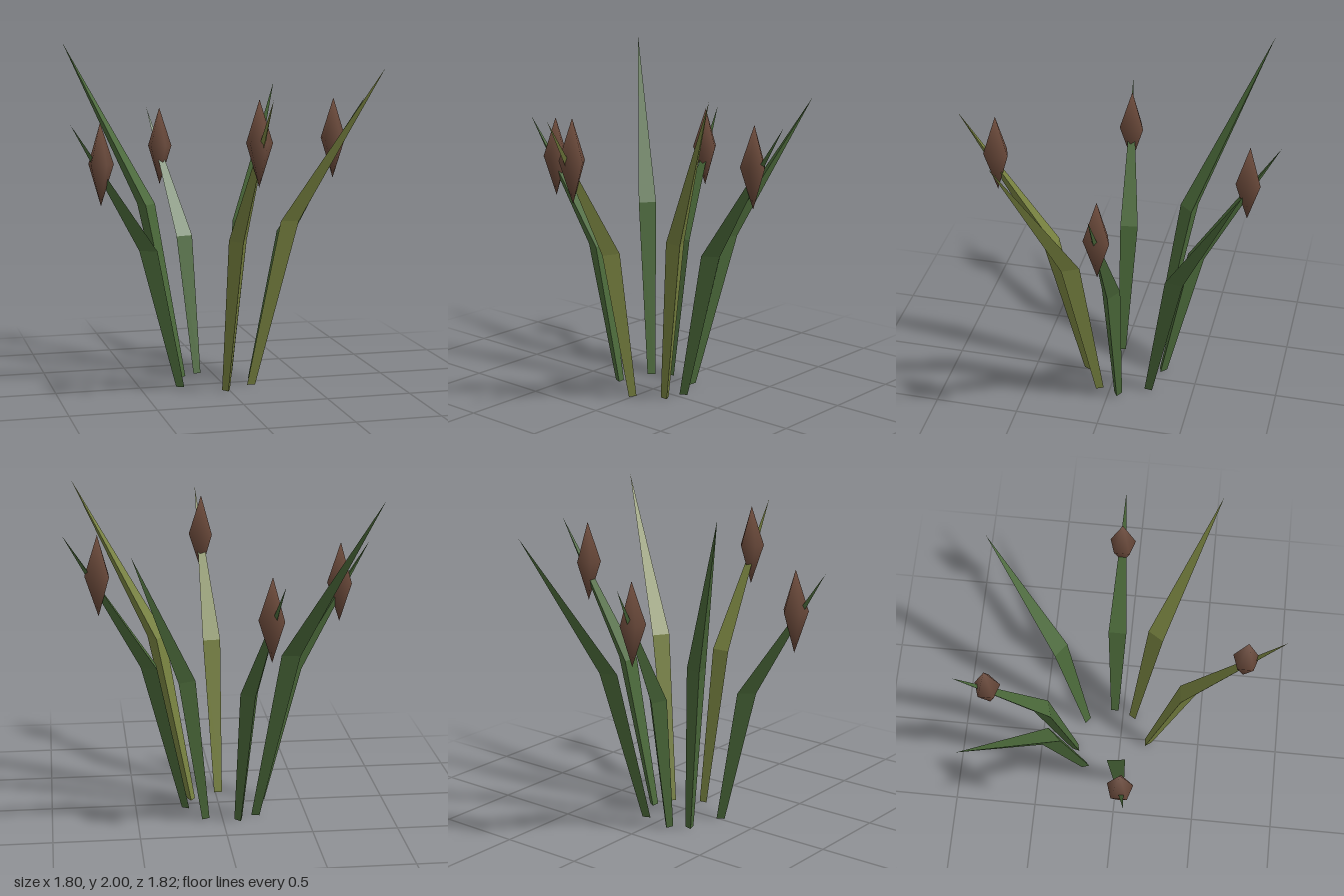
import * as THREE from 'three';

const green = new THREE.MeshStandardMaterial({ color: 0x4a6839, name: 'leafGreen' });
const olive = new THREE.MeshStandardMaterial({ color: 0x76803f, name: 'leafOlive' });
const brown = new THREE.MeshStandardMaterial({ color: 0x6b4a3b, name: 'seedBrown' });

const BASE_R = 0.028, MID_R = 0.062;

// Each blade: inner-face centre at base and bend, then the tip, as [x, y, z];
// head is the centre of a seed head, if the blade carries one.
const blades = [
  { name: 'backLeftBlade', mat: green, base: [-0.192, 0, -0.2], mid: [-0.358, 1.04, -0.35], tip: [-0.815, 2, -0.771] },
  { name: 'backReed', mat: green, base: [-0.092, 0, -0.263], mid: [-0.134, 0.83, -0.414], tip: [-0.265, 1.58, -0.912], head: [-0.218, 1.352, -0.738] },
  { name: 'backRightBlade', mat: green, base: [0.095, 0, -0.221], mid: [0.214, 0.915, -0.38], tip: [0.543, 1.735, -0.81] },
  { name: 'rightReed', mat: green, base: [0.182, 0, -0.056], mid: [0.367, 0.89, -0.056], tip: [0.897, 1.69, -0.056], head: [0.698, 1.448, -0.056] },
  { name: 'frontRightBlade', mat: olive, base: [0.146, 0, 0.061], mid: [0.324, 1.0, 0.178], tip: [0.825, 1.895, 0.494] },
  { name: 'frontReed', mat: olive, base: [-0.017, 0, 0.16], mid: [0.002, 0.92, 0.355], tip: [0.051, 1.76, 0.912], head: [0.031, 1.508, 0.7] },
  { name: 'leftReed', mat: green, base: [-0.244, 0, 0.016], mid: [-0.41, 0.825, 0.012], tip: [-0.907, 1.575, 0.1], head: [-0.732, 1.342, 0.066] },
];

// Three-sided blade: flat face inward, ridge outward, tapering to a point
function bladeGeometry({ base, mid, tip }) {
  const angle = Math.atan2(tip[2] - base[2], tip[0] - base[0]);
  const ring = ([x, y, z], r) => [0, 1, 2].map((i) => {
    const a = angle + (i * Math.PI * 2) / 3;
    return [
      x + r * (Math.cos(angle) / 2 + Math.cos(a)), y,
      z + r * (Math.sin(angle) / 2 + Math.sin(a)),
    ];
  });
  const low = ring(base, BASE_R), bend = ring(mid, MID_R);
  const points = [...low.flat()];
  for (let i = 0; i < 3; i++) {
    const j = (i + 1) % 3;
    points.push(...low[i], ...bend[i], ...bend[j]);
    points.push(...low[i], ...bend[j], ...low[j]);
    points.push(...bend[i], ...tip, ...bend[j]);
  }
  const geometry = new THREE.BufferGeometry();
  geometry.setAttribute('position', new THREE.Float32BufferAttribute(points, 3));
  geometry.computeVertexNormals();
  return geometry;
}

export function createModel() {
  const model = new THREE.Group();
  model.name = 'reedClump';

  // Five-sided spindle with soft shading, one corner towards +x
  const headGeometry = new THREE.SphereGeometry(1, 5, 2, Math.PI);
  headGeometry.scale(0.077, 0.24, 0.077);

  for (const spec of blades) {
    const plant = new THREE.Group();
    plant.name = spec.name;
    const blade = new THREE.Mesh(bladeGeometry(spec), spec.mat);
    blade.name = 'blade';
    plant.add(blade);
    if (spec.head) {
      const head = new THREE.Mesh(headGeometry, brown);
      head.name = 'seedHead';
      head.position.set(...spec.head);
      plant.add(head);
    }
    model.add(plant);
  }
  return model;
}
